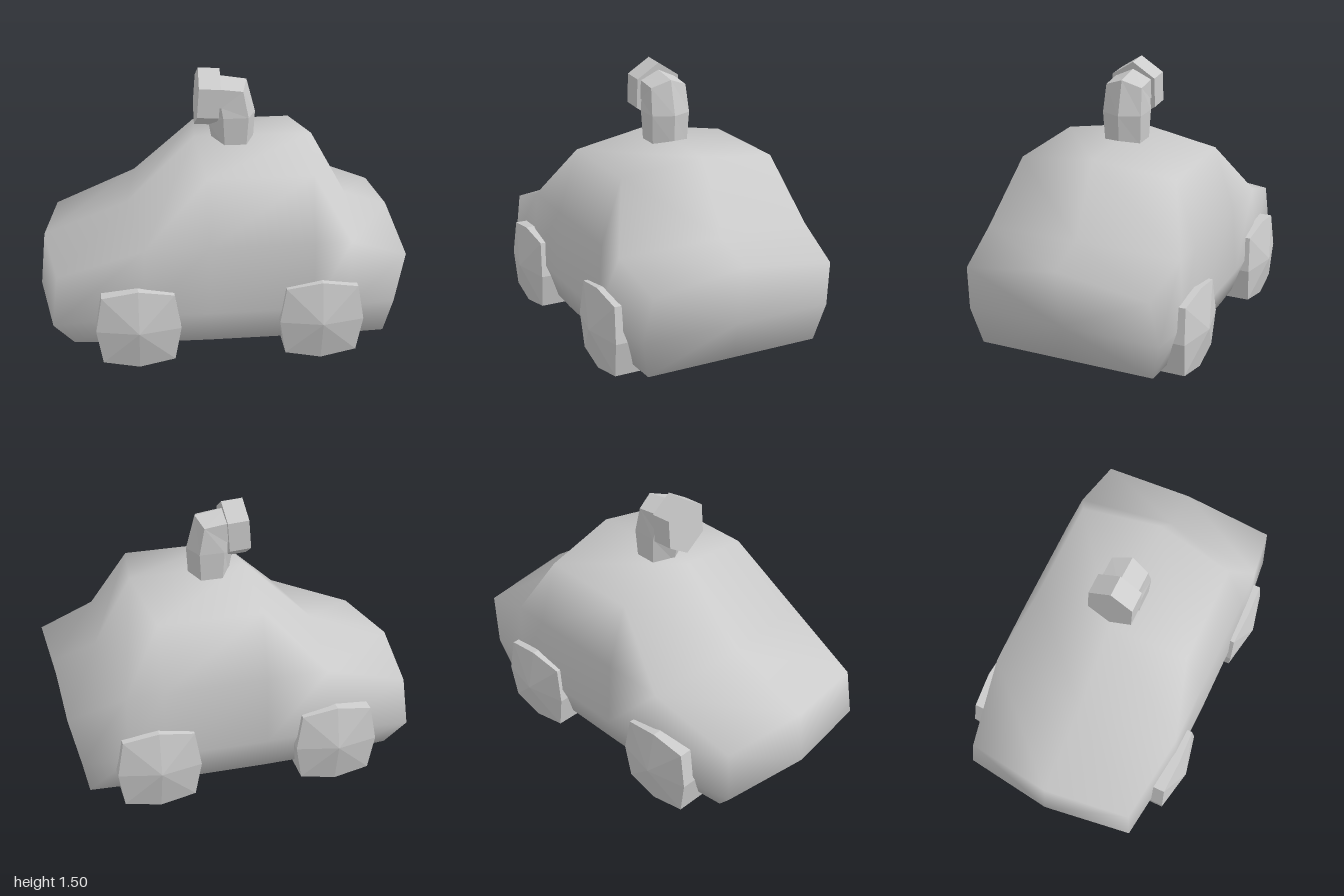
import * as THREE from 'three';
import { mergeVertices } from 'three/addons/utils/BufferGeometryUtils.js';

const smooth = new THREE.MeshStandardMaterial({ color: 0xcccccc });
const faceted = new THREE.MeshStandardMaterial({ color: 0xcccccc, flatShading: true });

// Closes a half section (first and last points on z = 0) into a mirrored ring.
function mirrorRing(half) {
  const back = half.slice(1, -1).reverse().map(([x, y, z]) => [x, y, -z]);
  return [...half, ...back];
}

// Skins a row of rings and closes each end with a fan to a tip point.
function loft(rings, startTip, endTip) {
  const n = rings[0].length;
  const points = [...rings.flat(), startTip, endTip];
  const startIndex = rings.length * n;
  const last = (rings.length - 1) * n;
  const index = [];
  for (let j = 0; j < n; j++) {
    const k = (j + 1) % n;
    for (let i = 0; i < rings.length - 1; i++) {
      const a = i * n, b = a + n;
      index.push(a + j, b + j, b + k, a + j, b + k, a + k);
    }
    index.push(startIndex, j, k, startIndex + 1, last + k, last + j);
  }
  const geometry = new THREE.BufferGeometry();
  geometry.setAttribute('position', new THREE.Float32BufferAttribute(points.flat(), 3));
  geometry.setIndex(index);
  const merged = mergeVertices(geometry);
  merged.computeVertexNormals();
  return merged;
}

function addMesh(parent, name, geometry, material) {
  const mesh = new THREE.Mesh(geometry, material);
  mesh.name = name;
  parent.add(mesh);
  return mesh;
}

// Body stations from nose to tail: floor centre, sill, side, belt, roof edge, spine.
function bodyGeometry() {
  const stations = [
    [[-0.87, 0.09, 0], [-0.82, 0.09, 0.46], [-0.93, 0.23, 0.51], [-0.9, 0.51, 0.49], [-0.9, 0.51, 0.49], [-0.97, 0.54, 0]],
    [[-0.43, 0.09, 0], [-0.43, 0.09, 0.5], [-0.43, 0.3, 0.58], [-0.43, 0.68, 0.56], [-0.43, 0.68, 0.56], [-0.5, 0.715, 0]],
    [[-0.08, 0.09, 0], [-0.08, 0.09, 0.51], [-0.08, 0.3, 0.59], [-0.08, 0.68, 0.565], [-0.08, 1.03, 0.45], [-0.11, 1.1, 0]],
    [[0.49, 0.09, 0], [0.49, 0.09, 0.51], [0.49, 0.3, 0.59], [0.49, 0.68, 0.565], [0.49, 1.03, 0.45], [0.55, 1.095, 0]],
    [[0.69, 0.09, 0], [0.69, 0.09, 0.51], [0.69, 0.3, 0.575], [0.69, 0.68, 0.56], [0.69, 0.68, 0.56], [0.76, 0.715, 0]],
    [[0.9, 0.09, 0], [0.9, 0.09, 0.5], [0.94, 0.3, 0.55], [1, 0.57, 0.52], [1, 0.57, 0.52], [1, 0.64, 0]],
  ];
  return loft(stations.map(mirrorRing), [-1, 0.23, 0], [0.94, 0.3, 0]);
}

// Eight-sided, squarish wheel with a shallow pointed hub, facing +z.
function wheelGeometry() {
  const ring = (z) => Array.from({ length: 8 }, (_, i) => {
    const angle = -i * Math.PI / 4;
    const radius = i % 2 ? 0.277 : 0.23;
    return [Math.cos(angle) * radius, Math.sin(angle) * radius, i % 2 ? z - 0.01 : z];
  });
  return loft([ring(-0.115), ring(0.115)], [0, 0, -0.13], [0, 0, 0.165]);
}

// Six-sided elbow rising from the roof and bending forward.
function elbowGeometry() {
  const sections = [
    [[0.22, 1.07, 0], [0.17, 1.07, 0.105], [0.05, 1.07, 0.105], [-0.01, 1.07, 0]],
    [[0.23, 1.24, 0], [0.18, 1.24, 0.113], [0.04, 1.24, 0.113], [-0.03, 1.18, 0]],
    [[0.18, 1.43, 0], [0.15, 1.39, 0.105], [0.03, 1.3, 0.105], [-0.02, 1.25, 0]],
    [[0, 1.46, 0], [0, 1.41, 0.105], [0, 1.3, 0.105], [-0.03, 1.26, 0]],
  ];
  return loft(sections.map(mirrorRing), [0.1, 1.07, 0], [-0.01, 1.36, 0]);
}

export function createModel() {
  const group = new THREE.Group();
  group.name = 'toyCar';

  addMesh(group, 'body', bodyGeometry(), smooth);

  // Four wheels, the far pair turned to face outwards
  const wheel = wheelGeometry();
  for (const [end, x] of [['front', -0.47], ['rear', 0.53]]) {
    for (const side of [1, -1]) {
      const mesh = addMesh(group, `${end}Wheel${side > 0 ? 'Near' : 'Far'}`, wheel, faceted);
      mesh.position.set(x, 0.235, side * 0.5);
      mesh.rotation.y = side > 0 ? 0 : Math.PI;
    }
  }

  // Roof horn: bent pipe with a hexagonal mouth
  const horn = new THREE.Group();
  horn.name = 'roofHorn';
  group.add(horn);
  addMesh(horn, 'hornElbow', elbowGeometry(), faceted);
  const mouth = new THREE.CylinderGeometry(0.165, 0.165, 0.12, 6);
  mouth.rotateY(Math.PI / 2).rotateZ(Math.PI / 2).scale(1, 1, 0.88).rotateZ(-0.07);
  addMesh(horn, 'hornMouth', mouth, faceted).position.set(-0.04, 1.335, 0);

  return group;
}
